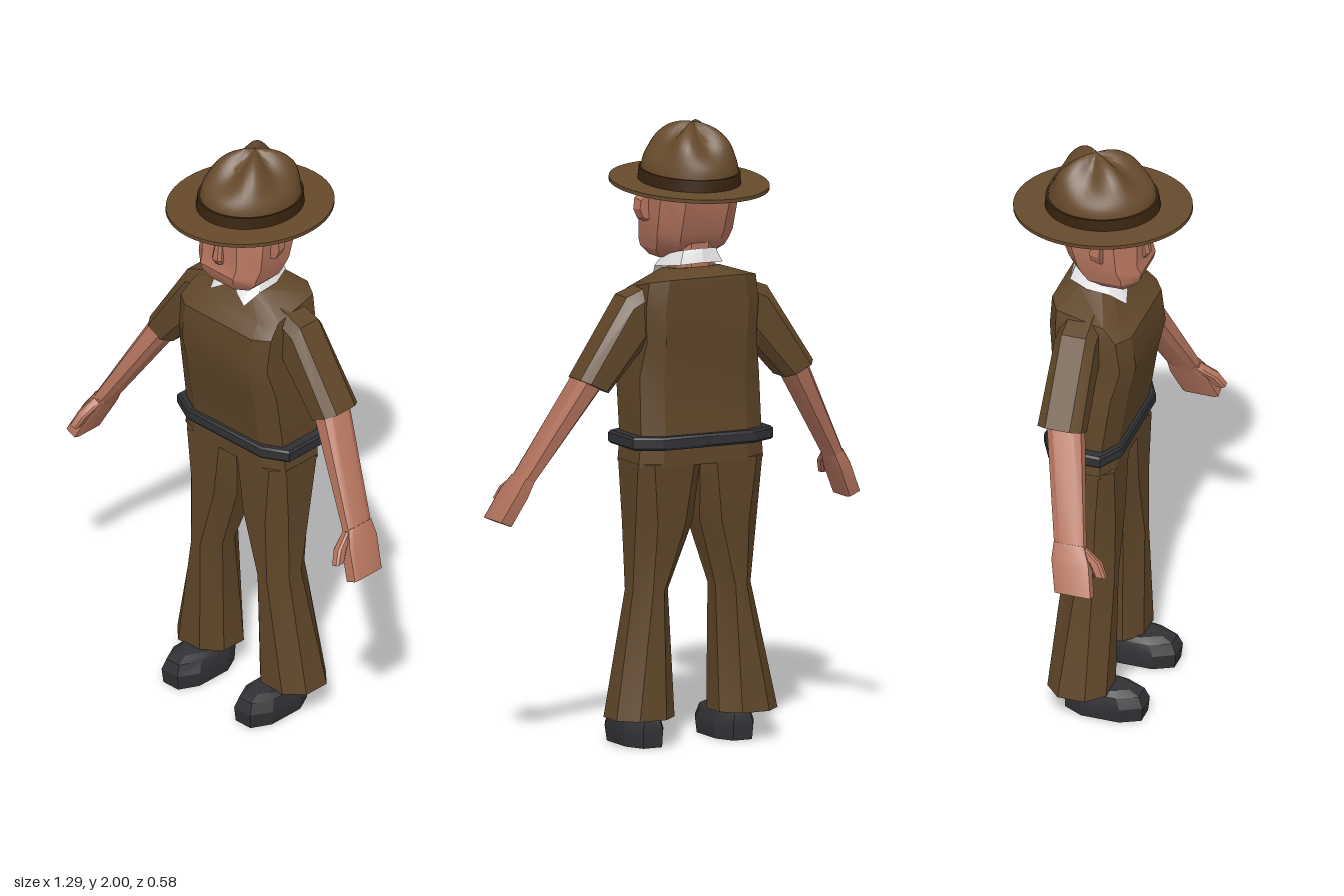
import * as THREE from 'three';
import { toCreasedNormals } from 'three/addons/utils/BufferGeometryUtils.js';

const mat = (name, color, extra = {}) => {
  const m = new THREE.MeshStandardMaterial({ color, ...extra });
  m.name = name;
  return m;
};

// Chamfered rectangle between points a and b (in x, y), reaching from z0 to z1
function ring(a, b, z0, z1, c = 0.25, tilt = 0) {
  const d = 1 - c;
  const corners = [[c, 0], [d, 0], [1, c], [1, d], [d, 1], [c, 1], [0, d], [0, c]];
  return corners.map(([t, w]) => {
    const z = z0 + (z1 - z0) * w;
    return [a[0] + (b[0] - a[0]) * t, a[1] + (b[1] - a[1]) * t - tilt * z, z];
  });
}

// Ring that is symmetric about x = 0
const level = (half, y, z0, z1, c, tilt) => ring([-half, y], [half, y], z0, z1, c, tilt);

// Skin over a row of rings, turned outward, with hard edges kept
function loft(rings, capped = true, crease = 0.45) {
  const n = rings[0].length, pts = rings.flat(), idx = [];
  const last = rings.length - 1;
  for (let i = 0; i < last; i++) {
    for (let j = 0; j < n; j++) {
      const a = i * n + j, b = i * n + (j + 1) % n;
      idx.push(a, b, b + n, a, b + n, a + n);
    }
  }
  if (capped) {
    for (let j = 1; j < n - 1; j++) {
      idx.push(0, j + 1, j, last * n, last * n + j, last * n + j + 1);
    }
  }
  const v = pts.map(p => new THREE.Vector3(...p));
  const mid = v.reduce((s, p) => s.add(p), new THREE.Vector3()).divideScalar(v.length);
  v.forEach(p => p.sub(mid));
  let volume = 0;
  for (let i = 0; i < idx.length; i += 3) {
    volume += v[idx[i]].dot(v[idx[i + 1]].clone().cross(v[idx[i + 2]]));
  }
  if (volume < 0) idx.reverse();
  const g = new THREE.BufferGeometry();
  g.setAttribute('position', new THREE.Float32BufferAttribute(pts.flat(), 3));
  g.setIndex(idx);
  return toCreasedNormals(g, crease);
}

export function createModel() {
  const model = new THREE.Group();
  model.name = 'hatted figure';
  const cloth = mat('brown cloth', 0x5f4629);
  const felt = mat('brown felt', 0x664a2c);
  const bandDark = mat('dark brown band', 0x38240f);
  const skin = mat('skin', 0xb4745e);
  const black = mat('black leather', 0x303134);
  const white = mat('white collar', 0xe2e2e2, { side: THREE.DoubleSide });

  const add = (name, geometry, material, parent = model) => {
    const m = new THREE.Mesh(geometry, material);
    m.name = name;
    parent.add(m);
    return m;
  };

  // Shirt, belt and hips
  add('shirt', loft([
    level(0.215, 0.98, -0.12, 0.10, 0.16),
    level(0.212, 1.20, -0.108, 0.135, 0.16),
    level(0.195, 1.31, -0.122, 0.16, 0.13),
    level(0.20, 1.42, -0.127, 0.145, 0.13),
    level(0.19, 1.48, -0.125, 0.10, 0.15, 0.25),
    level(0.085, 1.53, -0.075, 0.05, 0.2, 0.1),
  ]), cloth);
  add('belt', loft([
    level(0.243, 0.968, -0.137, 0.115, 0.17),
    level(0.25, 0.975, -0.141, 0.12, 0.17),
    level(0.25, 1.003, -0.141, 0.12, 0.17),
    level(0.243, 1.01, -0.137, 0.115, 0.17),
  ]), black);
  add('hips', loft([
    level(0.222, 0.91, -0.115, 0.10, 0.16),
    level(0.216, 0.98, -0.115, 0.10, 0.16),
  ]), cloth);

  // Limbs, once for each side
  for (const [s, side] of [[1, 'left'], [-1, 'right']]) {
    const limb = (a, b, z0, z1, c) => ring([s * a[0], a[1]], [s * b[0], b[1]], z0, z1, c);
    const flat = (y, x0, x1, z0, z1, c) => limb([x0, y], [x1, y], z0, z1, c);

    add(side + ' trouser leg', loft([
      flat(0.92, 0, 0.222, -0.115, 0.10, 0.18),
      flat(0.72, 0.012, 0.216, -0.10, 0.098, 0.26),
      flat(0.50, 0.085, 0.21, -0.075, 0.096, 0.34),
      flat(0.095, 0.08, 0.287, -0.107, 0.09, 0.27),
    ]), cloth);
    add(side + ' shoe', loft([
      flat(0, 0.095, 0.226, -0.06, 0.195, 0.25),
      flat(0.05, 0.09, 0.232, -0.062, 0.2, 0.25),
      flat(0.085, 0.10, 0.222, -0.058, 0.185, 0.27),
      flat(0.10, 0.115, 0.207, -0.05, 0.15, 0.3),
    ]), black);
    add(side + ' sleeve', loft([
      limb([0.15, 1.33], [0.16, 1.49], -0.075, 0.05, 0.2),
      limb([0.19, 1.29], [0.25, 1.455], -0.08, 0.055, 0.2),
      limb([0.315, 1.153], [0.415, 1.202], -0.084, 0.062, 0.22),
    ]), cloth);
    add(side + ' forearm', loft([
      limb([0.32, 1.185], [0.39, 1.225], -0.06, 0.055, 0.2),
      limb([0.53, 0.865], [0.572, 0.885], 0.03, 0.13, 0.2),
    ]), skin);
    add(side + ' hand', loft([
      limb([0.53, 0.868], [0.572, 0.888], 0.03, 0.13, 0.15),
      limb([0.553, 0.82], [0.60, 0.84], 0.032, 0.155, 0.12),
      limb([0.60, 0.726], [0.645, 0.746], 0.058, 0.178, 0.1),
    ]), skin);
    add(side + ' thumb', loft([
      limb([0.535, 0.865], [0.565, 0.88], 0.085, 0.135, 0.2),
      limb([0.55, 0.83], [0.583, 0.84], 0.15, 0.19, 0.2),
      limb([0.567, 0.79], [0.595, 0.798], 0.175, 0.212, 0.2),
    ]), skin);

    // Ear: flattened eight-sided disc
    const ear = add(side + ' ear', toCreasedNormals(
      new THREE.CylinderGeometry(0.036, 0.045, 0.034, 8).rotateX(-Math.PI / 2), 0.45), skin);
    ear.scale.set(0.75, 1.1, 1);
    ear.position.set(s * 0.142, 1.725, 0.03);
    ear.rotation.z = -s * 0.15;
  }

  // Head, nose and neck
  add('head', loft([
    level(0.092, 1.56, 0.0, 0.128, 0.22),
    level(0.122, 1.59, -0.05, 0.146, 0.22),
    level(0.128, 1.615, -0.075, 0.152, 0.22),
    level(0.135, 1.645, -0.09, 0.14, 0.22),
    level(0.14, 1.77, -0.135, 0.14, 0.22),
    level(0.13, 1.84, -0.13, 0.13, 0.25),
  ]), skin);
  add('nose', loft([
    level(0.016, 1.643, 0.12, 0.15),
    level(0.021, 1.66, 0.12, 0.16),
    level(0.010, 1.75, 0.12, 0.143),
  ]), skin);
  add('neck', loft([
    level(0.07, 1.50, -0.075, 0.05, 0.28),
    level(0.07, 1.62, -0.075, 0.055, 0.28),
  ]), skin);

  // Folded collar with two front points
  const mirrorRing = half => [...half, ...half.slice(1, -1).reverse().map(([x, y, z]) => [-x, y, z])];
  add('collar', loft([
    mirrorRing([[0, 1.54, 0.075], [0.035, 1.52, 0.095], [0.075, 1.495, 0.105], [0.095, 1.53, 0.055],
      [0.10, 1.54, -0.02], [0.075, 1.55, -0.085], [0, 1.555, -0.10]]),
    mirrorRing([[0, 1.562, 0.066], [0.03, 1.568, 0.063], [0.055, 1.573, 0.052], [0.072, 1.576, 0.03],
      [0.077, 1.582, -0.02], [0.057, 1.595, -0.072], [0, 1.6, -0.088]]),
  ], false), white);

  // Hat, tipped slightly back
  const hat = new THREE.Group();
  hat.name = 'hat';
  hat.position.y = 1.8;
  hat.rotation.x = -0.06;
  model.add(hat);
  const brim = add('hat brim', toCreasedNormals(new THREE.CylinderGeometry(1, 1, 0.012, 48), 0.6), felt, hat);
  brim.scale.set(0.245, 1, 0.29);
  const band = add('hat band', toCreasedNormals(new THREE.CylinderGeometry(0.98, 1, 0.04, 40), 0.6), bandDark, hat);
  band.scale.set(0.158, 1, 0.187);
  band.position.y = 0.024;

  // Crown pinched on four sides, leaving diagonal ridges
  const profile = new THREE.SplineCurve([
    [1, 0.02], [0.97, 0.06], [0.9, 0.1], [0.76, 0.145], [0.52, 0.18], [0.24, 0.197], [0, 0.2],
  ].map(p => new THREE.Vector2(...p))).getPoints(20);
  profile.forEach(p => { p.x = Math.max(p.x, 0); });
  profile.reverse();
  profile[0].x = 0;
  const crown = new THREE.LatheGeometry(profile.reverse(), 48);
  const pos = crown.attributes.position;
  for (let i = 0; i < pos.count; i++) {
    const x = pos.getX(i), y = pos.getY(i), z = pos.getZ(i), r = Math.hypot(x, z);
    const dent = 0.5 + 0.5 * Math.cos(4 * Math.atan2(x, z));
    const height = THREE.MathUtils.smoothstep(y, 0.06, 0.15);
    const k = 1 - 0.2 * dent * height;
    const drop = 0.03 * dent * height * Math.sin(Math.PI * Math.min(r, 1));
    pos.setXYZ(i, x * k * 0.152, y - drop, z * k * 0.178 - 0.012 * height);
  }
  crown.computeVertexNormals();
  add('hat crown', toCreasedNormals(crown, 1.2), felt, hat);

  return model;
}
